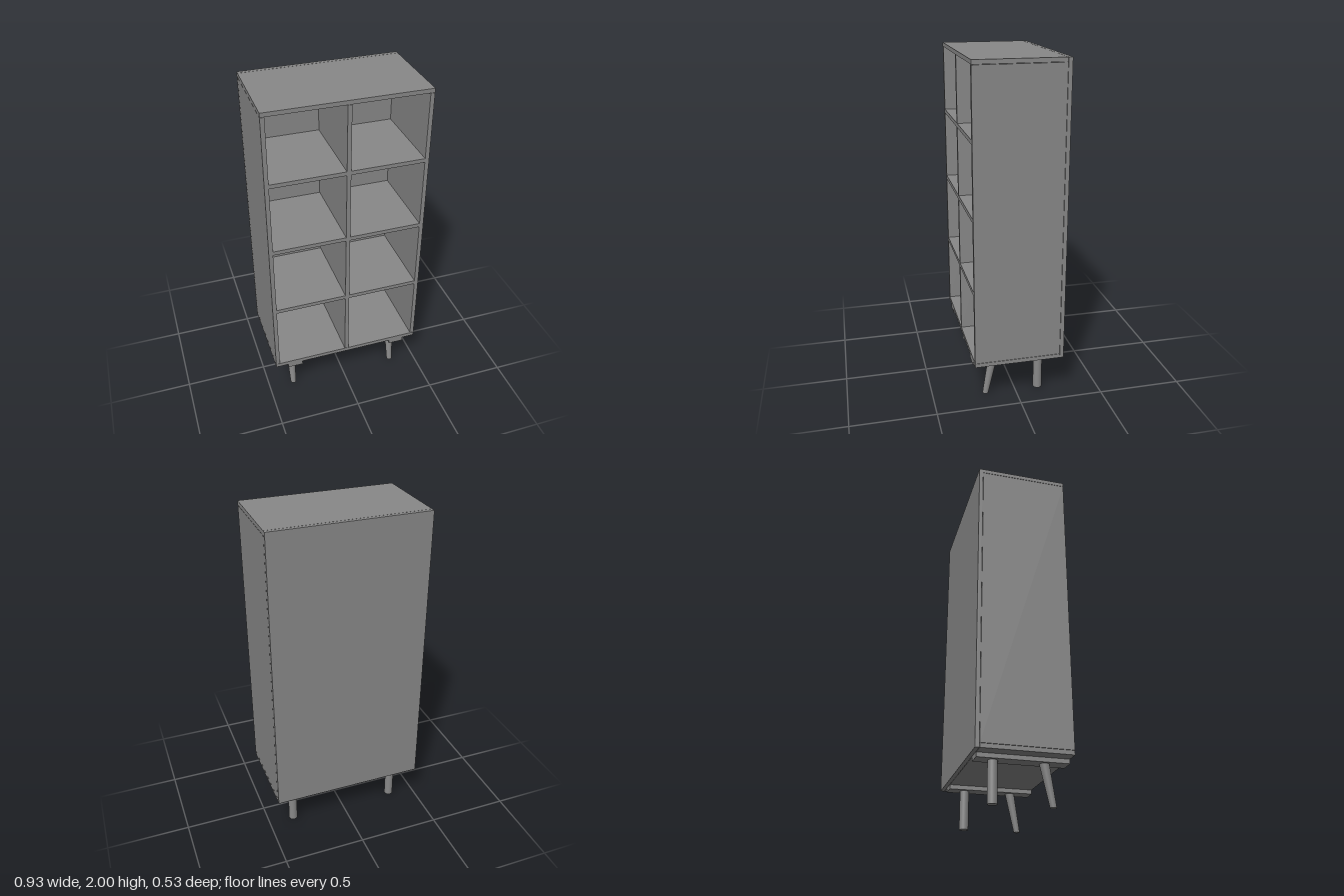
import * as THREE from 'three';

const material = new THREE.MeshStandardMaterial({ color: 0x888888 });

export function createModel() {
  const group = new THREE.Group();
  group.name = 'bookcase';

  const add = (name, geometry) => {
    const mesh = new THREE.Mesh(geometry, material);
    mesh.name = name;
    group.add(mesh);
    return mesh;
  };
  // Box given by its min and max on each axis
  const box = (name, x0, x1, y0, y1, z0, z1) =>
    add(name, new THREE.BoxGeometry(x1 - x0, y1 - y0, z1 - z0))
      .position.set((x0 + x1) / 2, (y0 + y1) / 2, (z0 + z1) / 2);

  const W = 0.465, T = 0.024, front = 0.266, back = -0.241;
  const bottom = 0.253, top = 2;
  const seam = 0.002; // fine joint between panels
  const low = bottom + T + seam, high = top - T - seam;

  // Carcass
  box('backPanel', -W, W, bottom, top, -0.266, back - seam);
  box('topPanel', -W, W, top - T, top, back, front);
  box('bottomPanel', -W, W, bottom, bottom + T, back, front);
  box('leftSide', W - T, W, low, high, back, front);
  box('rightSide', -W, -W + T, low, high, back, front);
  box('divider', -T / 2, T / 2, low, high, back, front);

  // Shelves, one on each side of the divider
  for (const y of [0.709, 1.143, 1.577]) {
    box('leftShelf', T / 2, W - T, y - T / 2, y + T / 2, back, front);
    box('rightShelf', -W + T, -T / 2, y - T / 2, y + T / 2, back, front);
  }

  // Tapered leg, sheared so both ends stay level
  const legTop = 0.228;
  const leg = (name, x, zTop, zFoot, rTop, rFoot) => {
    const g = new THREE.CylinderGeometry(rTop, rFoot, legTop, 32);
    g.applyMatrix4(new THREE.Matrix4().set(
      1, 0, 0, 0,
      0, 1, 0, 0,
      0, (zTop - zFoot) / legTop, 1, 0,
      0, 0, 0, 1));
    add(name, g).position.set(x, legTop / 2, (zTop + zFoot) / 2);
  };

  // Rails with a splayed front leg and a straight rear leg
  for (const [side, s] of [['left', 1], ['right', -1]]) {
    const x = s * 0.34;
    box(side + 'Rail', x - 0.046, x + 0.046, legTop, bottom, back, front);
    leg(side + 'FrontLeg', x, 0.138, 0.182, 0.027, 0.018);
    leg(side + 'RearLeg', x, -0.143, -0.143, 0.027, 0.027);
  }
  return group;
}
